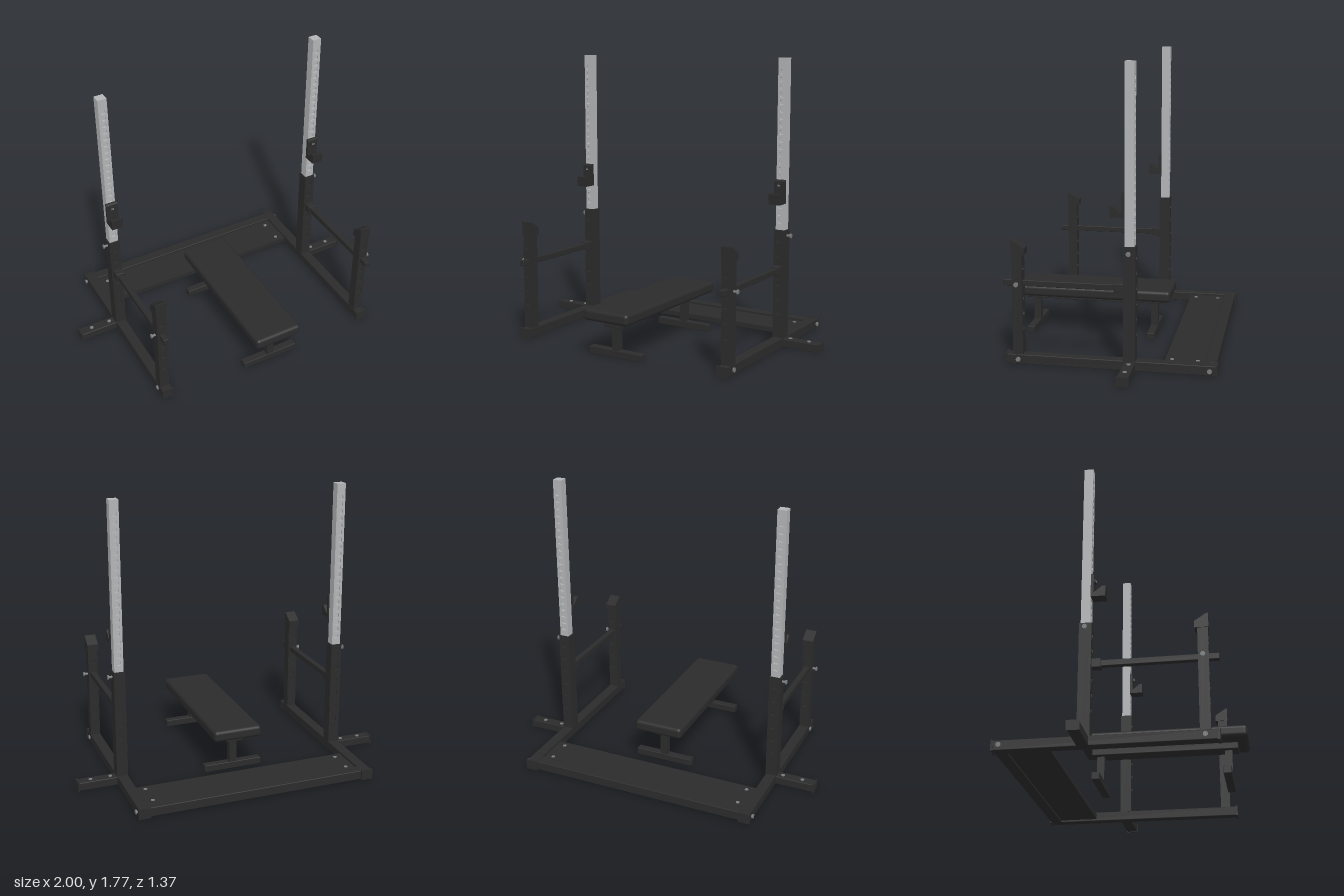
import * as THREE from 'three';
import { RoundedBoxGeometry } from 'three/addons/geometries/RoundedBoxGeometry.js';

const frameBlack = new THREE.MeshStandardMaterial({ color: 0x2b2b2b });
frameBlack.name = 'frameBlack';
const postGrey = new THREE.MeshStandardMaterial({ color: 0xb2b4b6 });
postGrey.name = 'postGrey';
const boltSteel = new THREE.MeshStandardMaterial({ color: 0x77797b });
boltSteel.name = 'boltSteel';

function add(parent, name, geometry, material) {
  const mesh = new THREE.Mesh(geometry, material);
  mesh.name = name;
  parent.add(mesh);
  return mesh;
}

// Box given by its lower and upper limits, optionally with eased edges
function box(parent, name, x, y, z, radius = 0, material = frameBlack) {
  const [w, h, d] = [x, y, z].map(([a, b]) => b - a);
  const g = radius ? new RoundedBoxGeometry(w, h, d, radius > 0.01 ? 4 : 1, radius) : new THREE.BoxGeometry(w, h, d);
  g.translate((x[0] + x[1]) / 2, (y[0] + y[1]) / 2, (z[0] + z[1]) / 2);
  return add(parent, name, g, material);
}

// Profile of [z, y] points extruded across x, centred on x
function profile(parent, name, points, x, width) {
  const shape = new THREE.Shape(points.map(p => new THREE.Vector2(...p)));
  const g = new THREE.ExtrudeGeometry(shape, { depth: width, bevelEnabled: false });
  g.rotateY(-Math.PI / 2).translate(x + width / 2, 0, 0);
  return add(parent, name, g, frameBlack);
}

// Square tube with recessed adjustment holes on its front and back
function drilledPost(parent, name, x, y, z, holes, size, material) {
  const depth = 0.012;
  const group = new THREE.Group();
  group.name = name;
  parent.add(group);
  box(group, name + 'Core', x, y, [z[0] + depth, z[1] - depth], 0, material);
  const shape = new THREE.Shape();
  shape.moveTo(x[0], y[0]).lineTo(x[1], y[0]).lineTo(x[1], y[1]).lineTo(x[0], y[1]).closePath();
  const cx = (x[0] + x[1]) / 2, a = size / 2, b = a * 0.6;
  const corners = [[a, -b], [a, b], [b, a], [-b, a], [-a, b], [-a, -b], [-b, -a], [b, -a]];
  for (const hy of holes)
    shape.holes.push(new THREE.Path(corners.map(([u, v]) => new THREE.Vector2(cx + u, hy + v))));
  for (const at of [z[0], z[1] - depth]) {
    const g = new THREE.ExtrudeGeometry(shape, { depth, bevelEnabled: false });
    add(group, name + 'Face', g.translate(0, 0, at), material);
  }
}

// Bolt pointing outwards along x on the given side
function sideBolt(parent, name, s, x0, x1, y, z) {
  const shank = new THREE.CylinderGeometry(0.008, 0.008, x1 - x0, 12).rotateZ(Math.PI / 2);
  add(parent, name + 'Shank', shank, boltSteel).position.set(s * (x0 + x1) / 2, y, z);
  const head = new THREE.CylinderGeometry(0.014, 0.014, 0.008, 12).rotateZ(Math.PI / 2);
  add(parent, name + 'Head', head, boltSteel).position.set(s * (x1 - 0.004), y, z);
}

function topScrew(parent, x, y, z) {
  add(parent, 'screw', new THREE.CylinderGeometry(0.012, 0.012, 0.006, 12), boltSteel).position.set(x, y, z);
}

function rackSide(s) {
  const side = new THREE.Group();
  side.name = s > 0 ? 'leftRackSide' : 'rightRackSide';
  const X = s * 0.72;
  const across = w => [X - w / 2, X + w / 2];
  const outward = (a, b) => (s > 0 ? [a, b] : [-b, -a]);

  // Floor rail with end caps, and the outrigger foot
  box(side, 'floorRail', across(0.066), [0.003, 0.06], [-0.678, 0.55], 0.004);
  box(side, 'rearRailCap', across(0.074), [0, 0.064], [-0.685, -0.673]);
  box(side, 'frontRailCap', across(0.074), [0, 0.064], [0.548, 0.56]);
  box(side, 'outrigger', outward(0.75, 0.992), [0.003, 0.054], [-0.212, -0.146], 0.004);
  box(side, 'outriggerCap', outward(0.99, 1), [0, 0.057], [-0.216, -0.142]);
  for (const x of [0.79, 0.915]) topScrew(side, s * x, 0.055, -0.18);

  // Main upright: sleeve with telescoping post
  const low = [0.22, 0.31, 0.4, 0.49, 0.58];
  drilledPost(side, 'uprightSleeve', across(0.07), [0.055, 0.735], [-0.212, -0.14], [...low, 0.67], 0.03, frameBlack);
  const high = Array.from({ length: 21 }, (_, i) => 0.79 + i * 0.045);
  drilledPost(side, 'telescopingPost', across(0.057), [0.7, 1.775], [-0.204, -0.149], high, 0.029, postGrey);

  // Bar hook
  profile(side, 'barHook', [[-0.149, 0.9], [-0.065, 0.9], [-0.063, 0.965], [-0.082, 0.965],
    [-0.132, 0.925], [-0.132, 1.035], [-0.138, 1.045], [-0.149, 1.045]], X, 0.073);
  box(side, 'hookLatch', across(0.035), [1.0, 1.022], [-0.135, -0.124]);
  box(side, 'hookPin', across(0.016), [1.006, 1.016], [-0.125, -0.121], 0, boltSteel);

  // Front post with sloped catch
  drilledPost(side, 'frontPost', across(0.062), [0.055, 0.665], [0.453, 0.513], low, 0.03, frameBlack);
  profile(side, 'frontCatch', [[0.437, 0.66], [0.516, 0.66], [0.516, 0.745], [0.506, 0.745], [0.437, 0.7]], X, 0.07);

  // Safety bar and its collar
  box(side, 'safetyBar', across(0.036), [0.471, 0.507], [-0.141, 0.57], 0.004);
  box(side, 'safetyBarCollar', across(0.054), [0.462, 0.516], [-0.141, -0.085], 0.004);

  // Bolts
  sideBolt(side, 'sleeveKnob', s, 0.745, 0.785, 0.7, -0.175);
  sideBolt(side, 'frontPostKnob', s, 0.745, 0.78, 0.488, 0.482);
  sideBolt(side, 'frontRailBolt', s, 0.74, 0.762, 0.032, 0.482);
  sideBolt(side, 'rearRailBolt', s, 0.74, 0.766, 0.032, -0.64);
  return side;
}

function bench() {
  const g = new THREE.Group();
  g.name = 'bench';
  box(g, 'benchPad', [-0.157, 0.157], [0.233, 0.305], [-0.33, 0.68], 0.022);
  box(g, 'benchRail', [-0.055, 0.055], [0.195, 0.234], [-0.263, 0.617], 0.004);
  for (const z of [-0.214, 0.557]) {
    box(g, 'benchLeg', [-0.023, 0.023], [0.04, 0.198], [z - 0.022, z + 0.022]);
    box(g, 'benchFoot', [-0.19, 0.19], [0, 0.045], [z - 0.024, z + 0.024], 0.004);
  }
  return g;
}

export function createModel() {
  const model = new THREE.Group();
  model.name = 'benchRack';
  model.add(rackSide(1), rackSide(-1), bench());

  // Rear crossbeam and floor plate
  box(model, 'rearCrossbeam', [-0.69, 0.69], [0.003, 0.06], [-0.674, -0.606], 0.004);
  box(model, 'floorPlate', [-0.69, 0.69], [0.015, 0.045], [-0.607, -0.37]);
  for (const x of [-0.635, 0.635])
    for (const z of [-0.56, -0.41]) topScrew(model, x, 0.045, z);
  return model;
}
